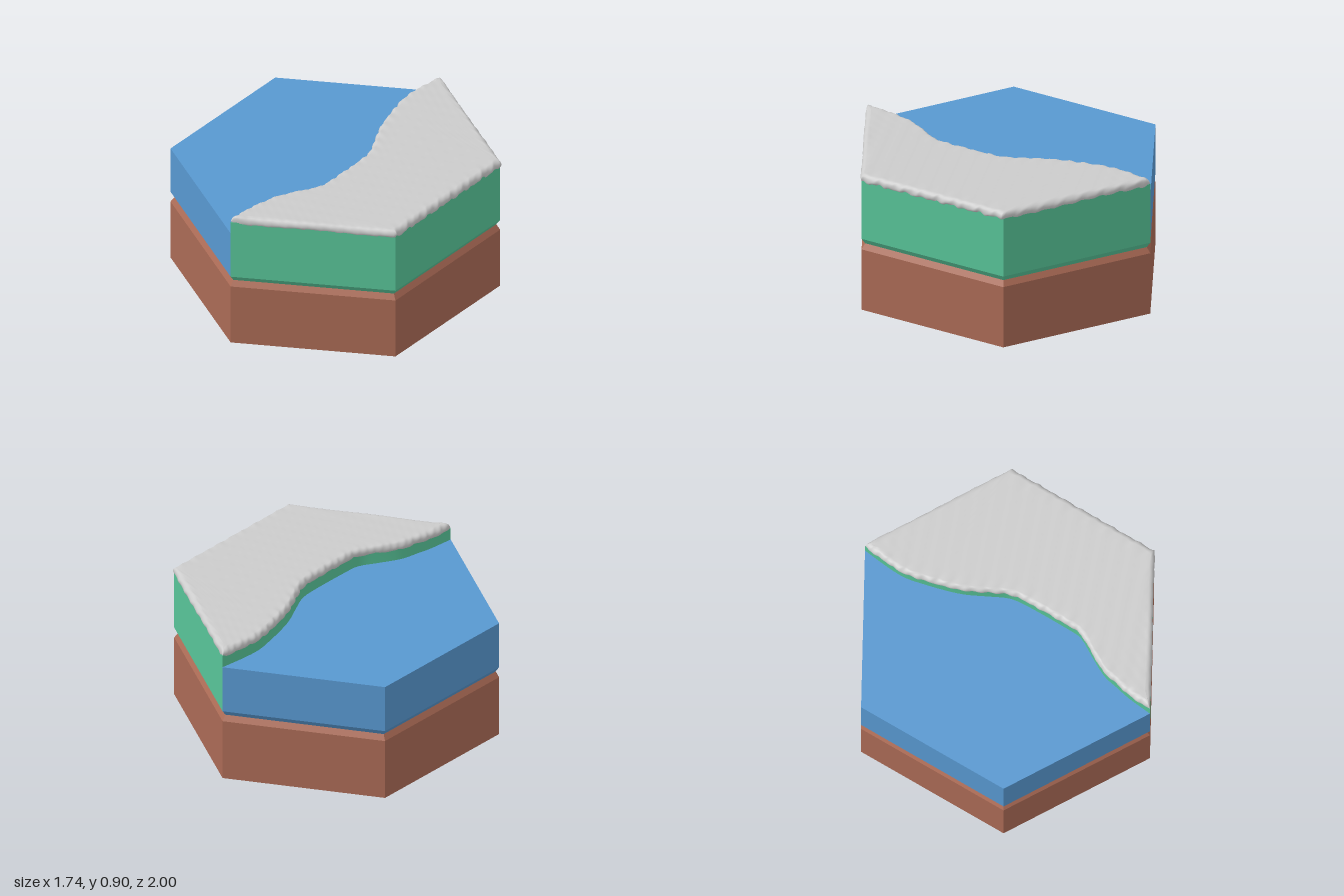
import * as THREE from 'three';
import { toCreasedNormals } from 'three/addons/utils/BufferGeometryUtils.js';

const CX = -0.007;                 // centre of the hexagon
const APOTHEM = Math.sqrt(3) / 2;

// Shoreline from the back corner to the front corner, as (x, z)
const shore = new THREE.SplineCurve([
  [-0.007, -1], [-0.028, -0.82], [-0.03, -0.7], [-0.008, -0.59], [0.025, -0.46],
  [0.065, -0.34], [0.13, -0.21], [0.185, -0.09], [0.197, 0.05], [0.197, 0.3],
  [0.187, 0.4], [0.125, 0.51], [0.055, 0.64], [0.03, 0.75], [0.01, 0.84], [-0.007, 1],
].map(([x, z]) => new THREE.Vector2(x, z))).getPoints(45);

function shoreX(z) {
  const i = Math.max(1, shore.findIndex(p => p.y >= z - 1e-9));
  const a = shore[i - 1], b = shore[i];
  return THREE.MathUtils.mapLinear(z, a.y, b.y, a.x, b.x);
}

// Prism over an (x, z) footprint; each level is [y, scale about the centre]
function prism(points, levels) {
  const ring = THREE.ShapeUtils.isClockWise(points) ? [...points].reverse() : points;
  const n = ring.length, pos = [], idx = [];
  for (const [y, s] of levels) {
    for (const p of ring) pos.push(CX + (p.x - CX) * s, y, p.y * s);
  }
  const top = (levels.length - 1) * n;
  for (let l = 0; l < top; l += n) {
    for (let i = 0; i < n; i++) {
      const a = l + i, b = l + (i + 1) % n;
      idx.push(a, a + n, b, b, a + n, b + n);
    }
  }
  for (const [a, b, c] of THREE.ShapeUtils.triangulateShape(ring, [])) {
    idx.push(a, b, c, top + a, top + c, top + b);
  }
  const g = new THREE.BufferGeometry();
  g.setAttribute('position', new THREE.Float32BufferAttribute(pos, 3));
  g.setIndex(idx);
  return toCreasedNormals(g, 0.4);
}

// Smooth lumpy noise, roughly -1..1
const lump = (x, y, z) =>
  0.5 * Math.sin(61 * z + 23 * x + 40 * y) + 0.3 * Math.sin(107 * z - 71 * x + 1.3)
  + 0.3 * Math.sin(37 * z + 89 * x + 60 * y + 4);

// Rounded blanket made of closed cross-sections marching along z
function blanket() {
  const rows = 200, arc = 10, across = 16, pos = [], idx = [];
  const yMid = 0.867, half = 0.031;
  for (let r = 0; r <= rows; r++) {
    const z = -1 + 2 * r / rows, edge = 1 - Math.abs(z);
    const slant = THREE.MathUtils.lerp(2, 1, THREE.MathUtils.smoothstep(edge, 0.47, 0.53));
    const tip = Math.min(1, edge / 0.035);
    const h = half * Math.sqrt(1 - (1 - tip) ** 2);
    const x0 = shoreX(z) - 0.006 * tip;
    const x1 = CX + Math.min(APOTHEM, edge * Math.sqrt(3)) + 0.006 * slant * tip;
    const ra = Math.min(0.03, (x1 - x0) / 2);
    const rb = Math.min(0.03 * slant, (x1 - x0) / 2);
    const loop = [];
    for (let i = 0; i <= arc; i++) {               // outer edge, upwards
      const t = Math.PI * (i / arc - 0.5);
      loop.push([x1 - rb + rb * Math.cos(t), h * Math.sin(t)]);
    }
    for (let i = 1; i < across; i++) {             // top
      loop.push([THREE.MathUtils.lerp(x1 - rb, x0 + ra, i / across), h]);
    }
    for (let i = 0; i <= arc; i++) {               // shore edge, downwards
      const t = Math.PI * (i / arc + 0.5);
      loop.push([x0 + ra + ra * Math.cos(t), h * Math.sin(t)]);
    }
    const n = loop.length;
    loop.forEach(([x, y], j) => {
      const onTop = j > arc && j < arc + across;
      const k = (onTop ? 0.0015 : 0.005) * tip;
      pos.push(x + k * lump(x, y, z), yMid + y + k * 0.6 * lump(x + 2, y, z),
        z * 0.998 + k * 0.5 * lump(x + 5, y, z));
      if (r === rows) return;
      const a = r * n + j, b = r * n + (j + 1) % n;
      idx.push(a, b, a + n, b, b + n, a + n);
    });
  }
  const g = new THREE.BufferGeometry();
  g.setAttribute('position', new THREE.Float32BufferAttribute(pos, 3));
  g.setIndex(idx);
  g.computeVertexNormals();
  return g;
}

export function createModel() {
  const group = new THREE.Group();
  const add = (name, geometry, color) => {
    const mesh = new THREE.Mesh(geometry, new THREE.MeshStandardMaterial({ color }));
    mesh.name = name;
    group.add(mesh);
  };
  const corner = (side, z) => new THREE.Vector2(CX + side * APOTHEM, z);

  // Hexagonal earth base with a bevelled upper rim
  const hexagon = [new THREE.Vector2(CX, -1), corner(1, -0.5), corner(1, 0.5),
    new THREE.Vector2(CX, 1), corner(-1, 0.5), corner(-1, -0.5)];
  add('earthBase', prism(hexagon, [[0, 1], [0.4, 1], [0.435, 0.975]]), 0xaa6a55);

  // Water and land share the shoreline and have bevelled lower rims
  add('water', prism([...shore, corner(-1, 0.5), corner(-1, -0.5)],
    [[0.435, 0.975], [0.47, 1], [0.78, 1]]), 0x5898d0);
  add('land', prism([...shore, corner(1, 0.5), corner(1, -0.5)],
    [[0.435, 0.975], [0.47, 1], [0.86, 1]]), 0x58c498);

  // Soft lumpy cover lying on the land
  add('groundCover', blanket(), 0xcccccc);
  return group;
}
